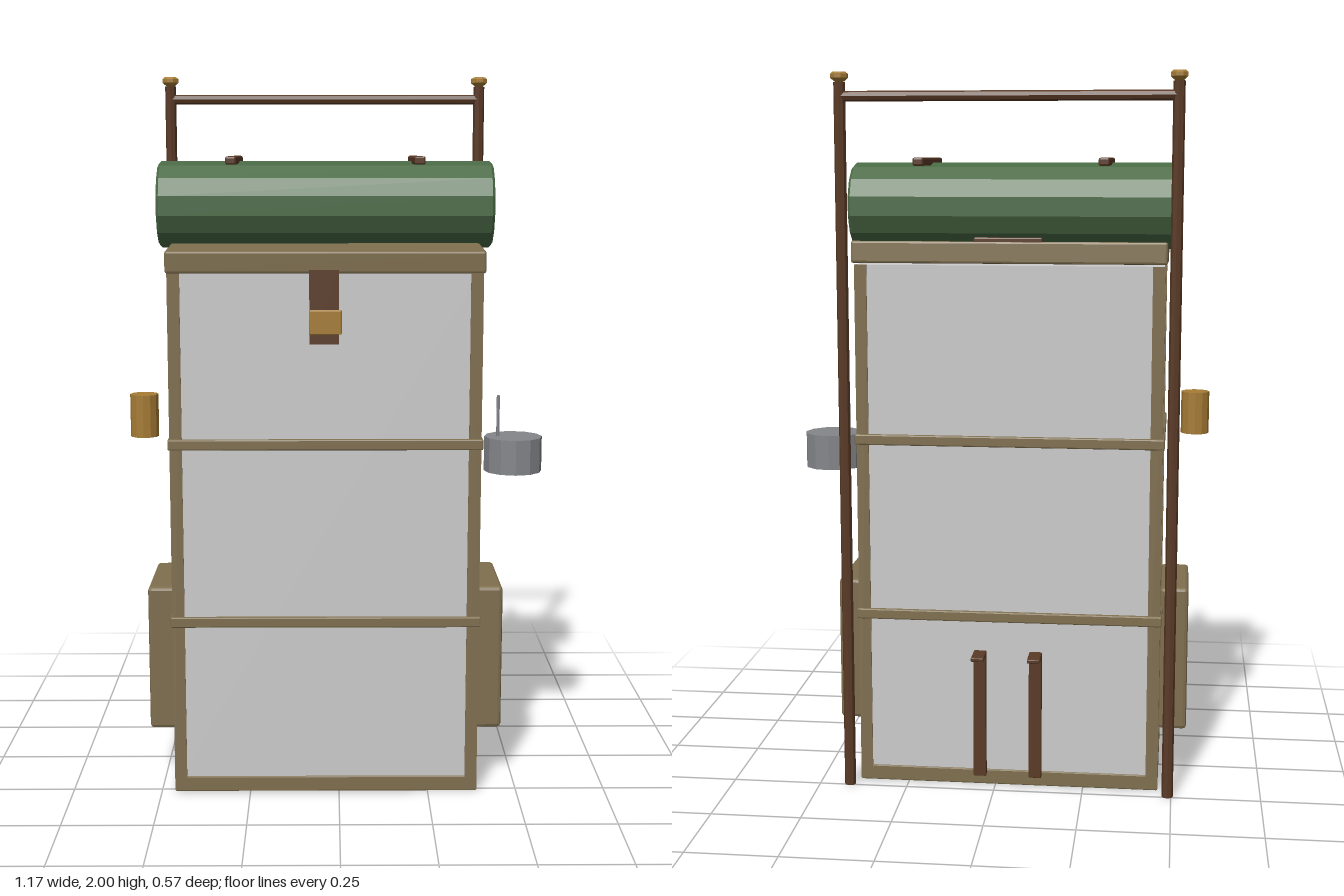
import * as THREE from 'three';
import { RoundedBoxGeometry } from 'three/addons/geometries/RoundedBoxGeometry.js';

const mat = (color) => new THREE.MeshStandardMaterial({ color, flatShading: true });

export function createModel() {
  const model = new THREE.Group();
  model.name = 'framePack';
  const panel = mat(0xcccccc), canvas = mat(0x7f6f4f), leather = mat(0x5a3a26);
  const brass = mat(0xa67c35), green = mat(0x4a6a45), metal = mat(0x84868a);

  const add = (name, geometry, material, x, y, z) => {
    const mesh = new THREE.Mesh(geometry, material);
    mesh.name = name;
    mesh.position.set(x, y, z);
    model.add(mesh);
    return mesh;
  };
  // Box given by its extents, with an optional small bevel
  const box = (name, material, [x0, x1], [y0, y1], [z0, z1], bevel = 0) => {
    const size = [x1 - x0, y1 - y0, z1 - z0];
    const geometry = bevel ? new RoundedBoxGeometry(...size, 1, bevel) : new THREE.BoxGeometry(...size);
    return add(name, geometry, material, (x0 + x1) / 2, (y0 + y1) / 2, (z0 + z1) / 2);
  };
  const cyl = (name, material, r, h, sides, x, y, z) =>
    add(name, new THREE.CylinderGeometry(r, r, h, sides), material, x, y, z);

  // Pack body with edge trim standing just proud of the panels
  const X = [-0.462, 0.388], Z = [-0.21, 0.273], trim = 0.034;
  const inset = ([a, b], d) => [a + d, b - d];
  box('bodyPanels', panel, inset(X, 0.003), [0.02, 1.485], inset(Z, 0.003));
  box('baseTrim', canvas, X, [0.005, 0.05], Z, 0.004);
  for (const x of [[X[0], X[0] + trim], [X[1] - trim, X[1]]])
    for (const z of [[Z[0], Z[0] + trim], [Z[1] - trim, Z[1]]])
      box('cornerTrim', canvas, x, [0.01, 1.485], z);

  // Bands around the body
  for (const y of [0.5, 1.0])
    box('band', canvas, inset(X, -0.005), [y - 0.015, y + 0.015], inset(Z, -0.006), 0.004);

  // Sloping lid and the grab handle behind it
  const lid = box('lid', canvas, [-0.467, 0.394], [1.478, 1.538], [-0.225, 0.278], 0.006);
  lid.rotation.x = 0.052;
  box('grabHandle', leather, [-0.13, 0.057], [1.505, 1.562], [-0.221, -0.209], 0.004);

  // Front closure
  box('closureStrap', leather, [-0.08, 0.0], [1.275, 1.475], [0.268, 0.28]);
  box('buckle', brass, [-0.081, 0.007], [1.302, 1.368], [0.27, 0.285], 0.003);

  // Side pockets
  for (const x of [[-0.54, -0.46], [0.386, 0.465]])
    box('sidePocket', canvas, x, [0.155, 0.572], [-0.115, 0.173], 0.01);

  // Carrying frame: uprights, end caps and crossbar
  const poleZ = -0.242;
  for (const x of [-0.49, 0.414]) {
    cyl('framePole', leather, 0.016, 1.97, 8, x, 0.988, poleZ);
    const cap = [[0, -0.02], [0.014, -0.015], [0.024, -0.006], [0.024, 0.005], [0.018, 0.01], [0, 0.01]];
    add('poleCap', new THREE.LatheGeometry(cap.map((p) => new THREE.Vector2(...p)), 8, Math.PI / 8), brass, x, 1.99, poleZ);
  }
  cyl('crossbar', leather, 0.014, 0.904, 8, -0.038, 1.936, poleZ).rotation.z = Math.PI / 2;

  // Bedroll with a softened rim, and the straps on top of it
  const roll = [[0, -0.465], [0.113, -0.465], [0.12, -0.458], [0.12, 0.458], [0.113, 0.465], [0, 0.465]];
  const bedroll = add('bedroll', new THREE.LatheGeometry(roll.map((p) => new THREE.Vector2(...p)), 14), green, -0.036, 1.64, 0.028);
  bedroll.rotation.set(0, 0, Math.PI / 2);
  bedroll.geometry.rotateY(Math.PI / 14);
  for (const x of [-0.291, 0.218])
    box('bedrollStrap', leather, [x - 0.015, x + 0.015], [1.752, 1.774], [-0.155, 0.208], 0.005);

  // Shoulder strap ends on the back, each with a tab at its top
  for (const x of [-0.115, 0.042]) {
    box('backStrap', leather, [x - 0.018, x + 0.018], [0.035, 0.4], [-0.228, -0.209], 0.003);
    box('backStrapTab', leather, [x - 0.018, x + 0.018], [0.39, 0.402], [-0.285, -0.209], 0.003);
  }

  // Pot with handle hanging on the left, cup on the right
  cyl('pot', metal, 0.083, 0.1, 12, 0.502, 0.93, 0.027);
  cyl('potHandle', metal, 0.005, 0.16, 6, 0.458, 1.018, 0.027);
  cyl('cup', brass, 0.04, 0.12, 12, -0.55, 1.05, 0.07);

  return model;
}
